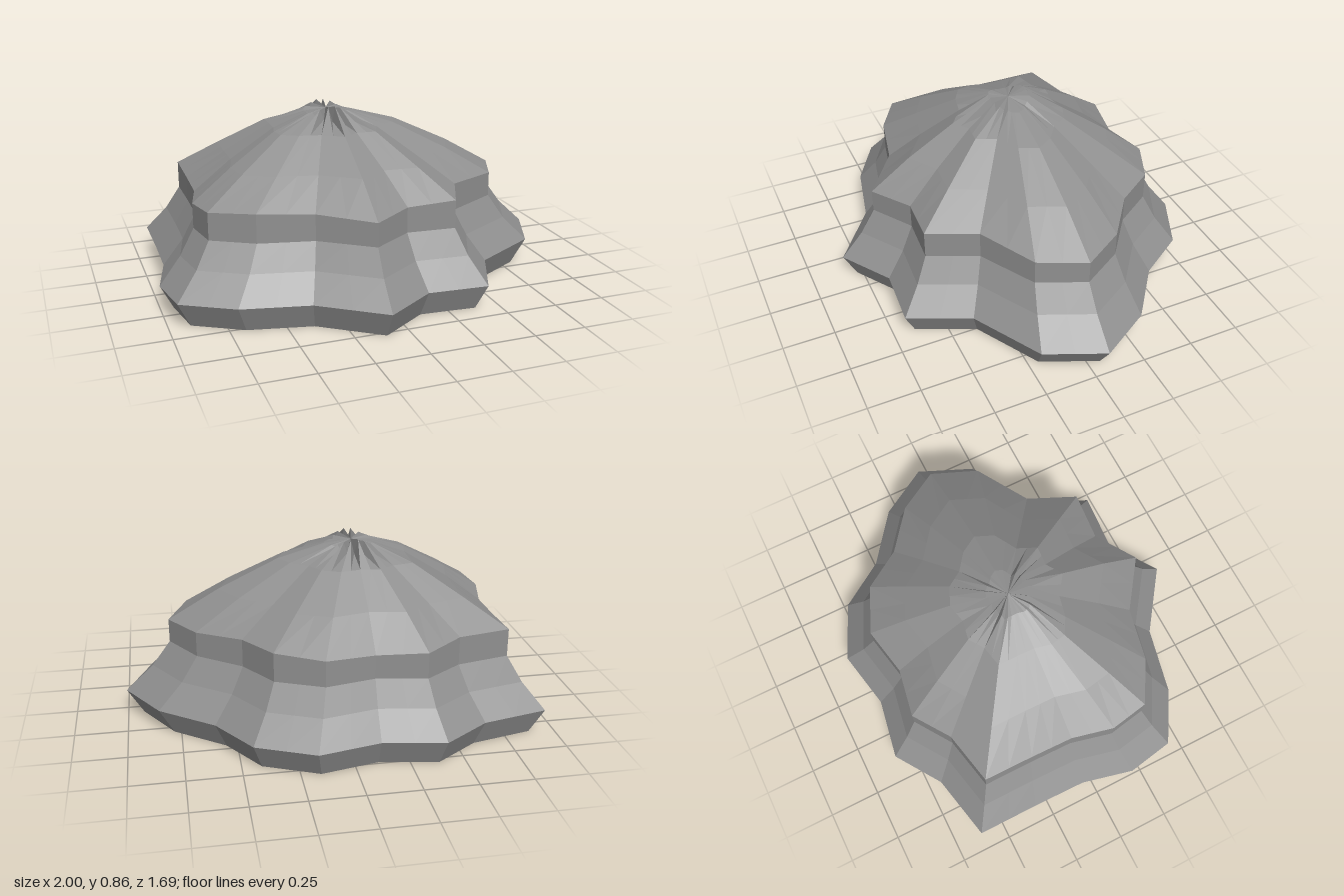
import * as THREE from 'three';

const CENTER = new THREE.Vector2(-0.11, -0.06);
const APEX_Y = 0.84;

// Widest outline (x, z), measured from the apex axis; one point about every 18 degrees
const OUTLINE = [
  [1.11, 0], [0.99, 0.28], [0.66, 0.47], [0.53, 0.76], [0.24, 0.74],
  [0, 0.9], [-0.29, 0.69], [-0.61, 0.62], [-0.85, 0.48], [-0.89, 0.25],
  [-0.83, 0], [-0.825, -0.26], [-0.825, -0.56], [-0.51, -0.63], [-0.29, -0.78],
  [0, -0.73], [0.29, -0.79], [0.56, -0.67], [0.71, -0.44], [0.96, -0.25],
];

// Outline with a midpoint between neighbours, so the crown can fold
const RIM = OUTLINE.flatMap(([x, z], i) => {
  const [nx, nz] = OUTLINE[(i + 1) % OUTLINE.length];
  return [[x, z], [(x + nx) / 2, (z + nz) / 2]];
});

// Each ring: scale of the outline, height, wave of the ledge edge, depth of the crown folds
const SKIRT = [
  { s: 0.93, y: 0 }, { s: 1, y: 0.125 }, { s: 0.88, y: 0.25 },
  { s: 0.8, y: 0.37 }, { s: 0.8, y: 0.495, wave: 0.012 },
];
const ROOF = [
  { s: 0.8, y: 0.495, wave: 0.012 }, { s: 0.58, y: 0.625 },
  { s: 0.32, y: 0.762 }, { s: 0.12, y: 0.825, fold: 0.04 },
];

function ringPoint({ s, y, wave = 0, fold = 0 }, i) {
  const n = RIM.length;
  const [x, z] = RIM[i % n];
  // Wave is sampled on the main points and averaged between them
  const waveAt = (k) => {
    const [px, pz] = OUTLINE[k % OUTLINE.length];
    return -Math.cos(4 * Math.atan2(pz, px));
  };
  const w = (waveAt(Math.floor((i % n) / 2)) + waveAt(Math.ceil((i % n) / 2))) / 2;
  // Folds are strongest toward the front and back
  const strength = Math.abs(z / Math.hypot(x, z)) ** 3;
  const crease = fold * strength * (i % 2 ? 1 : -0.8);
  return [CENTER.x + x * s, y + wave * w + crease, CENTER.y + z * s];
}

// Flat-faceted shell through the rings, optionally closed at the apex
function shell(rings, closed) {
  const pos = [];
  for (let i = 0; i < RIM.length; i++) {
    for (let r = 0; r < rings.length - 1; r++) {
      const a = ringPoint(rings[r], i), b = ringPoint(rings[r], i + 1);
      const c = ringPoint(rings[r + 1], i + 1), d = ringPoint(rings[r + 1], i);
      pos.push(...a, ...d, ...b, ...b, ...d, ...c);
    }
    if (closed) {
      const top = rings[rings.length - 1];
      pos.push(...ringPoint(top, i), CENTER.x, APEX_Y, CENTER.y, ...ringPoint(top, i + 1));
    }
  }
  const geo = new THREE.BufferGeometry();
  geo.setAttribute('position', new THREE.Float32BufferAttribute(pos, 3));
  geo.computeVertexNormals();
  return geo;
}

export function createModel() {
  const group = new THREE.Group();
  group.name = 'rockMound';
  const stone = new THREE.MeshStandardMaterial({
    name: 'stone grey', color: 0x909090, flatShading: true, side: THREE.DoubleSide,
  });
  const add = (name, geo) => {
    const mesh = new THREE.Mesh(geo, stone);
    mesh.name = name;
    group.add(mesh);
  };
  // Flared foot and upright ledge, open underneath
  add('flaredSkirt', shell(SKIRT, false));
  // Sloping top with a creased crown
  add('creasedRoof', shell(ROOF, true));
  return group;
}
